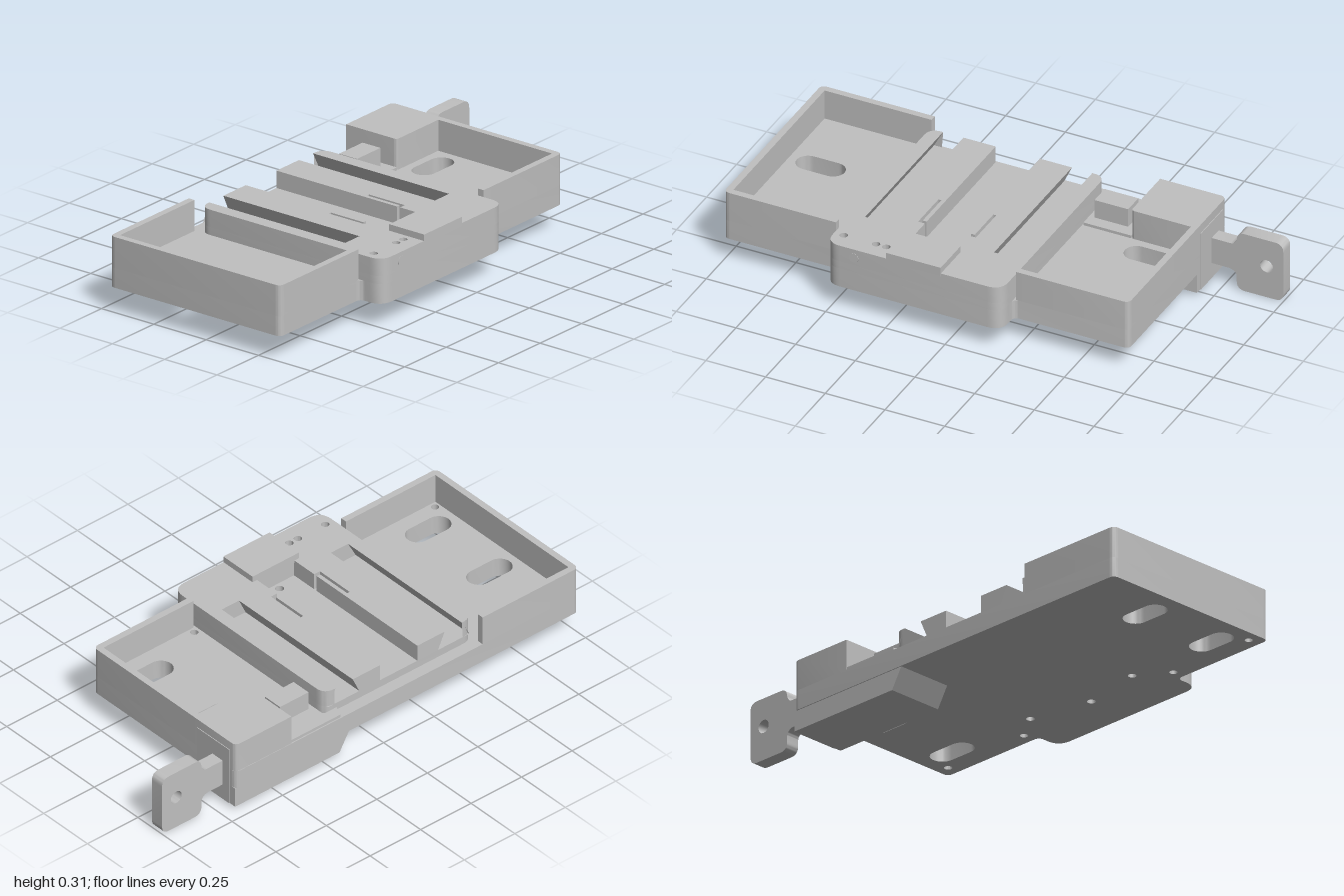
import * as THREE from 'three';
import { toCreasedNormals } from 'three/addons/utils/BufferGeometryUtils.js';

const FLOOR = 0.18, CHANNEL = 0.212, RIM = 0.305, BOTTOM = 0.1;

// closed outline from [a, b, cornerRadius] points, always counter-clockwise
function trace(points) {
  const clockwise = THREE.ShapeUtils.isClockWise(points.map(([x, y]) => new THREE.Vector2(x, y)));
  const pts = clockwise ? [...points].reverse() : points;
  const path = new THREE.Shape();
  const n = pts.length;
  pts.forEach(([x, y, r = 0], i) => {
    const [px, py] = pts[(i + n - 1) % n], [nx, ny] = pts[(i + 1) % n];
    const d0 = Math.hypot(px - x, py - y), d1 = Math.hypot(nx - x, ny - y);
    const ax = x + (px - x) / d0 * r, ay = y + (py - y) / d0 * r;
    if (i === 0) path.moveTo(ax, ay); else path.lineTo(ax, ay);
    if (r) path.quadraticCurveTo(x, y, x + (nx - x) / d1 * r, y + (ny - y) / d1 * r);
  });
  path.closePath();
  return path;
}

function circle(x, y, r) {
  return new THREE.Path().absarc(x, y, r, 0, Math.PI * 2, true);
}

// rounded slot lying along x
function slot(x, y, halfLength, r) {
  const p = new THREE.Path();
  p.absarc(x + halfLength - r, y, r, Math.PI / 2, -Math.PI / 2, true);
  p.absarc(x - halfLength + r, y, r, -Math.PI / 2, Math.PI / 2, true);
  p.closePath();
  return p;
}

function extrude(points, depth, holes) {
  const shape = trace(points);
  shape.holes = holes;
  return new THREE.ExtrudeGeometry(shape, { depth, bevelEnabled: false, curveSegments: 8 });
}

// plan outline in [x, z], raised from y0 to y1
function plan(pts, y0, y1, holes = []) {
  return extrude(pts.map(([x, z, r]) => [x, -z, r]), y1 - y0, holes)
    .rotateX(-Math.PI / 2).translate(0, y0, 0);
}

// elevation outline in [x, y], extruded from z0 to z1
function elevation(pts, z0, z1, holes = []) {
  return extrude(pts, z1 - z0, holes).translate(0, 0, z0);
}

const rect = (x0, x1, z0, z1) => [[x0, z0], [x1, z0], [x1, z1], [x0, z1]];

export function createModel() {
  const model = new THREE.Group();
  const grey = new THREE.MeshStandardMaterial({ color: 0xc0c0c0 });
  grey.name = 'plainGrey';
  const add = (name, geometry) => {
    const mesh = new THREE.Mesh(toCreasedNormals(geometry, 0.6), grey);
    mesh.name = name;
    model.add(mesh);
  };

  // base plate with mounting slots and screw holes
  const trayHoles = [];
  for (const x of [-0.84, 0.535])
    for (const z of [-0.135, 0.215]) trayHoles.push(slot(x, -z, 0.1, 0.048));
  for (const x of [-0.95, -0.55, 0.242, 0.645]) trayHoles.push(circle(x, -0.303, 0.016));
  const channelHoles = () => [[-0.42, 0.215], [0.12, 0.215], [-0.15, 0.268]]
    .map(([x, z]) => circle(x, -z, 0.017));
  add('basePlate', plan([
    [-1, -0.46, 0.025], [0.697, -0.46, 0.025], [0.697, 0.354, 0.025], [0.215, 0.354, 0.025],
    [0.215, 0.459, 0.06], [-0.52, 0.459, 0.06], [-0.52, 0.354, 0.025], [-1, 0.354, 0.025],
  ], BOTTOM, FLOOR, [...trayHoles, ...channelHoles()]));

  // tray walls
  const t = 0.027;
  add('rightTrayWall', plan([
    [-0.525, -0.46], [-1, -0.46, 0.025], [-1, 0.354, 0.025], [-0.53, 0.354],
    [-0.53, 0.354 - t], [-1 + t, 0.354 - t], [-1 + t, -0.46 + t], [-0.525, -0.46 + t],
  ], FLOOR, RIM));
  add('leftTrayWall', plan([
    [0.224, 0.354], [0.697, 0.354, 0.025], [0.697, -0.22],
    [0.697 - t, -0.22], [0.697 - t, 0.354 - t], [0.224, 0.354 - t],
  ], FLOOR, RIM));

  // slab under the channels
  const mid = -0.1525, back = -0.41;
  add('channelFloor', plan([
    [-0.52, back, 0.05], [0.215, back, 0.05], [0.215, 0.459, 0.06], [-0.52, 0.459, 0.06],
  ], FLOOR, CHANNEL, channelHoles()));

  // centre block: side channels, wide middle channel and clip slits, open at the back
  const half = [
    [0.0925, 0.295], [0.0925, 0.18], [0.121, 0.18], [0.121, 0.01], [0.109, 0.01], [0.109, 0.165],
    [0.0925, 0.165], [0.0925, back], [0.2275, back], [0.2275, 0.24], [0.3125, 0.24],
    [0.3125, back], [0.3675, back, 0.05], [0.3675, 0.459, 0.06],
  ];
  const outline = [
    ...half.map(([x, z, r]) => [mid + x, z, r]),
    ...half.map(([x, z, r]) => [mid - x, z, r]).reverse(),
  ];
  const blind = [-0.48, -0.345, -0.302].map((x) => circle(x, -0.388, 0.016));
  const block = plan(outline, CHANNEL, 0.282, blind);
  // undercut the side channels: widen them towards the floor
  const p = block.attributes.position;
  for (let i = 0; i < p.count; i++) {
    if (p.getY(i) > CHANNEL + 0.01 || p.getZ(i) > 0.25) continue;
    const d = p.getX(i) - mid, a = Math.abs(d), s = Math.sign(d);
    if (Math.abs(a - 0.3125) < 0.002) p.setX(i, mid + s * 0.35);
    if (Math.abs(a - 0.2275) < 0.002) p.setX(i, mid + s * 0.195);
  }
  block.computeVertexNormals();
  add('slideBlock', block);
  add('raisedTab', plan(rect(-0.267, -0.038, 0.293, 0.46), 0.27, 0.308));

  // round plug on the front face
  add('frontPlug', new THREE.CylinderGeometry(0.02, 0.02, 0.006, 24)
    .rotateX(Math.PI / 2).translate(-0.403, 0.245, 0.4575));

  // lock: housing, latch ledge, latch, face plate, lower case
  add('lockHousing', plan([
    [0.42, -0.458], [0.697, -0.458, 0.025], [0.697, -0.216], [0.42, -0.216, 0.015],
  ], FLOOR, RIM));
  add('latchLedge', plan([
    [0.175, -0.455], [0.42, -0.455], [0.42, -0.216], [0.22, -0.216], [0.22, back], [0.155, back],
  ], FLOOR - 0.01, FLOOR + 0.012));
  add('latch', plan(rect(0.242, 0.383, -0.35, -0.265), FLOOR, 0.27));
  add('lockCase', elevation([
    [0.13, BOTTOM + 0.002], [0.18, 0.018], [0.697, 0.018], [0.697, BOTTOM + 0.002],
  ], -0.456, -0.214));
  add('lockFacePlate', plan(rect(0.692, 0.7, -0.425, -0.242), 0.018, 0.268));

  // key
  add('key', elevation([
    [0.69, 0.085], [0.79, 0.085, 0.02], [0.805, 0.065, 0.01], [0.805, 0, 0.035], [1, 0, 0.035],
    [1, 0.254, 0.035], [0.805, 0.254, 0.035], [0.805, 0.215, 0.01], [0.79, 0.197, 0.01], [0.69, 0.197],
  ], -0.388, -0.33, [circle(0.93, 0.138, 0.027)]));

  return model;
}
